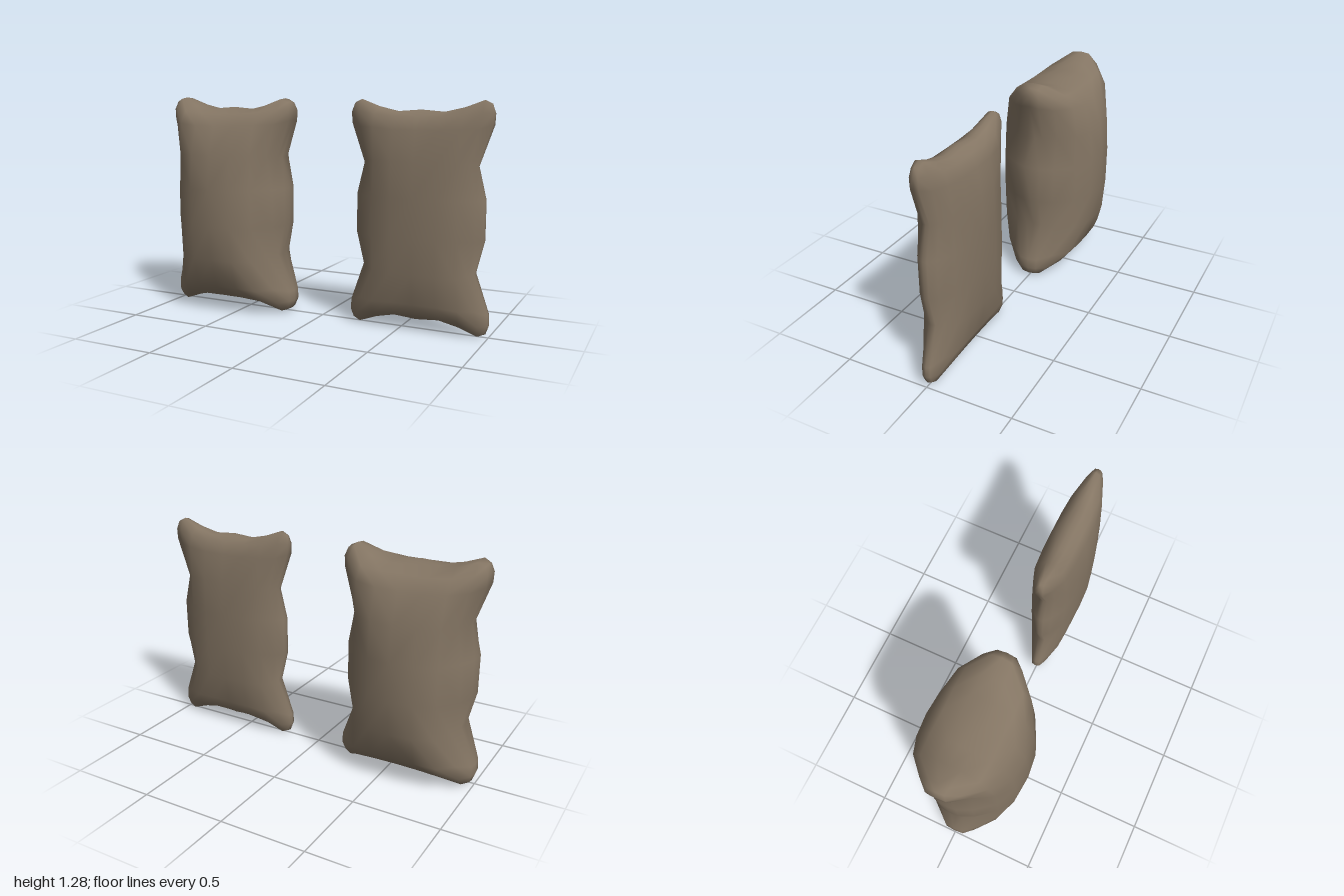
import * as THREE from 'three';
import { mergeVertices } from 'three/addons/utils/BufferGeometryUtils.js';

// One quarter of a cushion face: rows run from the middle to the top edge,
// each row holds [x, y, z] points from the centre line to the side edge.
const QUARTER = [
  [[0, .11, .31], [.13, .11, .295], [.245, .11, .24], [.33, .11, .13], [.366, .11, .05]],
  [[0, .31, .29], [.13, .31, .28], [.24, .31, .235], [.295, .3, .13], [.322, .29, .05]],
  [[0, .48, .235], [.13, .48, .232], [.25, .49, .21], [.335, .49, .13], [.398, .51, .055]],
  [[0, .55, .165], [.13, .55, .168], [.25, .56, .16], [.35, .575, .11], [.401, .57, .055]],
  [[0, .58, .07], [.13, .57, .07], [.24, .595, .065], [.345, .634, .055], [.385, .615, .045]],
];
const SEAM = 1.01;

// Grid point for column i (-5..5) and row j (-5..4); the outermost ring is the seam at z = 0.
function facePoint(i, j, side) {
  const sx = Math.sign(i), sy = j < 0 ? -1 : 1;
  const col = Math.abs(i), row = j < 0 ? -j - 1 : j;
  const onSeam = col > 4 || row > 4;
  const [x, y, z] = QUARTER[Math.min(row, 4)][Math.min(col, 4)];
  const k = onSeam ? SEAM : 1;
  return [sx * x * k, sy * y * k, onSeam ? 0 : side * z];
}

function cushionGeometry(depth) {
  const positions = [];
  const addTriangle = (a, b, c, side) => {
    const same = (p, q) => p.every((v, n) => Math.abs(v - q[n]) < 1e-6);
    if (same(a, b) || same(b, c) || same(a, c)) return;
    positions.push(...a, ...(side > 0 ? b : c), ...(side > 0 ? c : b));
  };
  // Front and back faces meet along the seam
  for (const side of [1, -1]) {
    for (let j = -6; j < 5; j++) {
      for (let i = -5; i < 5; i++) {
        const a = facePoint(i, j, side), b = facePoint(i + 1, j, side);
        const c = facePoint(i + 1, j + 1, side), d = facePoint(i, j + 1, side);
        // Diagonals mirror from quarter to quarter
        if ((i < 0) === (j < 0)) {
          addTriangle(a, b, c, side);
          addTriangle(a, c, d, side);
        } else {
          addTriangle(a, b, d, side);
          addTriangle(b, c, d, side);
        }
      }
    }
  }
  let geometry = new THREE.BufferGeometry();
  geometry.setAttribute('position', new THREE.Float32BufferAttribute(positions, 3));
  geometry.scale(1, 1, depth);
  geometry = mergeVertices(geometry, 1e-5);
  geometry.computeVertexNormals();
  return geometry;
}

export function createModel() {
  const group = new THREE.Group();
  group.name = 'cushions';
  const fabric = new THREE.MeshStandardMaterial({ color: 0x857664 });
  fabric.name = 'taupe fabric';

  // A plump cushion and a thin one, side by side
  for (const [name, x, depth] of [['plumpCushion', -.595, 1], ['thinCushion', .595, .435]]) {
    const cushion = new THREE.Mesh(cushionGeometry(depth), fabric);
    cushion.name = name;
    cushion.position.set(x, .64, 0);
    group.add(cushion);
  }
  return group;
}
